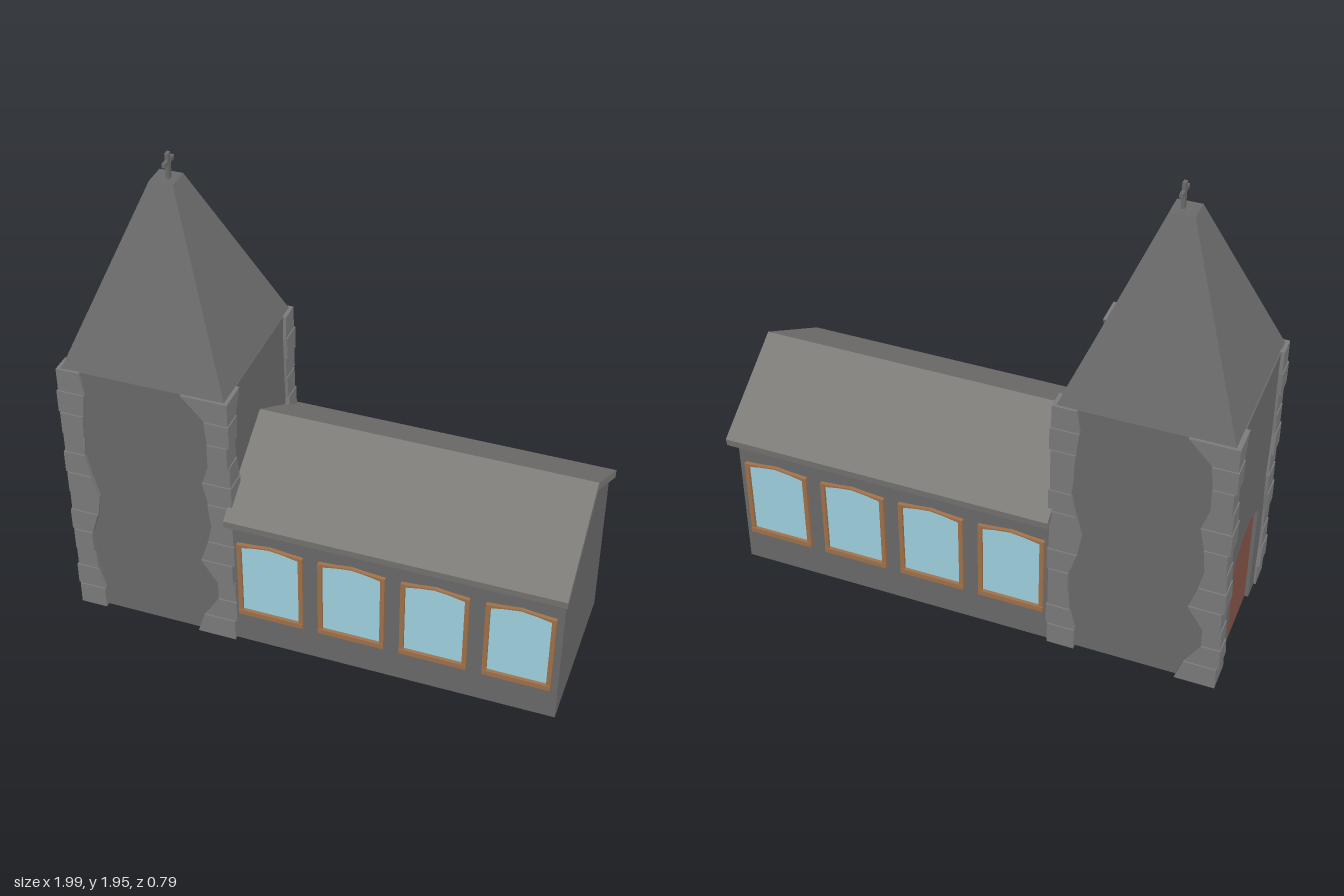
import * as THREE from 'three';

const mat = (color) => new THREE.MeshStandardMaterial({ color, flatShading: true });
const wallStone = mat(0x6b6b6b), cornerStone = mat(0x7c7c7c), slate = mat(0x7c7b78);
const wood = mat(0xa1724a), glass = mat(0x9fd3e2), doorWood = mat(0x875549);

function add(parent, name, geometry, material) {
  const mesh = new THREE.Mesh(geometry, material);
  mesh.name = name;
  parent.add(mesh);
  return mesh;
}

// Six-sided block between two rectangles [x0, x1, z0, z1] at heights y0 and y1.
function block(low, high, y0, y1) {
  const g = new THREE.BoxGeometry(1, 1, 1), p = g.attributes.position;
  for (let i = 0; i < p.count; i++) {
    const top = p.getY(i) > 0, r = top ? high : low;
    p.setXYZ(i, p.getX(i) > 0 ? r[1] : r[0], top ? y1 : y0, p.getZ(i) > 0 ? r[3] : r[2]);
  }
  g.computeVertexNormals();
  return g;
}

const outline = (points, Type = THREE.Shape) => new Type(points.map(([x, y]) => new THREE.Vector2(x, y)));
const extrude = (shape, depth) => new THREE.ExtrudeGeometry(shape, { depth, bevelEnabled: false, curveSegments: 8 });

// Profile drawn in (z, y) and extruded along x from x0 to x1.
function alongX(shape, x0, x1) {
  return extrude(shape, x1 - x0).rotateY(-Math.PI / 2).translate(x1, 0, 0);
}

// Window outline with a shallow faceted arch.
const arch = (w, y0, side, crown) => [[-w, y0], [w, y0], [w, side], [0.06, crown - 0.008],
  [0, crown], [-0.06, crown - 0.008], [-w, side]];

function createWindow() {
  const group = new THREE.Group();
  group.name = 'window';
  const frame = outline(arch(0.133, 0.15, 0.506, 0.52));
  frame.holes.push(outline(arch(0.116, 0.172, 0.494, 0.514), THREE.Path));
  add(group, 'windowFrame', extrude(frame, 0.02), wood).position.z = -0.005;
  add(group, 'windowPane', extrude(outline(arch(0.12, 0.16, 0.496, 0.516)), 0.01), glass).position.z = -0.006;
  const sill = [-0.133, 0.133, -0.005, 0.018];
  add(group, 'windowSill', block(sill, sill, 0.15, 0.172), wood);
  return group;
}

// Ragged corner stones: how far the courses reach along the wall, from the ground up.
const raggedA = [0.15, 0.12, 0.06, 0.06, 0.12, 0.09, 0.07, 0.08, 0.1, 0.07, 0.07, 0.08, 0.17];
const raggedB = [0.1, 0.1, 0.075, 0.07, 0.07, 0.1, 0.115, 0.09, 0.07, 0.08, 0.085, 0.095, 0.08];

function createCornerStones(name, sx, sz, reach) {
  const group = new THREE.Group();
  group.name = name;
  const x = sx > 0 ? -0.32 : -0.975, z = sz * 0.33, courses = reach.length - 1;
  const span = (c, s, out, inward) => (s > 0 ? [c - inward, c + out] : [c - out, c + inward]);
  for (let i = 0; i < courses; i++) {
    const outX = 0.009 + 0.004 * ((i * 2) % 3), outZ = 0.009 + 0.006 * ((i * 5 + 2) % 3);
    const rect = (r) => [...span(x, sx, outX, r), ...span(z, sz, outZ, 0.03 + r / 2)];
    const y = (k) => (1.155 * k) / courses;
    add(group, 'cornerStone', block(rect(reach[i]), rect(reach[i + 1]), y(i), y(i + 1)), cornerStone);
  }
  return group;
}

function createTower() {
  const tower = new THREE.Group();
  tower.name = 'tower';
  const body = [-0.935, -0.32, -0.33, 0.33];
  add(tower, 'towerBody', block(body, body, 0, 1.155), wallStone);

  // Entrance wall with a recessed door
  const wall = outline([[-0.33, 0], [-0.17, 0], [-0.17, 0.46]]);
  wall.quadraticCurveTo(0, 0.59, 0.17, 0.46);
  [[0.17, 0], [0.33, 0], [0.33, 1.155], [-0.33, 1.155]].forEach(([a, b]) => wall.lineTo(a, b));
  add(tower, 'entranceWall', alongX(wall, -0.975, -0.935), wallStone);
  const door = outline([[0.17, 0.46], [0.17, 0], [-0.17, 0], [-0.17, 0.46]]);
  door.quadraticCurveTo(0, 0.59, 0.17, 0.46);
  add(tower, 'door', alongX(door, -0.96, -0.935), doorWood);

  add(tower, 'spire', block([-0.97, -0.322, -0.327, 0.327], [-0.695, -0.603, -0.046, 0.046], 1.155, 1.845), wallStone);
  tower.add(
    createCornerStones('frontLeftCornerStones', 1, 1, raggedA),
    createCornerStones('frontRightCornerStones', -1, 1, raggedB),
    createCornerStones('backLeftCornerStones', 1, -1, raggedB),
    createCornerStones('backRightCornerStones', -1, -1, raggedA),
  );

  // Cross on the flat spire top
  const upright = [-0.645, -0.632, -0.011, 0.011], bar = [-0.645, -0.632, -0.04, 0.04];
  add(tower, 'crossUpright', block(upright, upright, 1.84, 1.945), wallStone);
  add(tower, 'crossBar', block(bar, bar, 1.902, 1.918), wallStone);
  return tower;
}

function createNave() {
  const nave = new THREE.Group();
  nave.name = 'nave';
  const walls = outline([[-0.333, 0], [0.333, 0], [0.333, 0.66], [0, 0.865], [-0.333, 0.66]]);
  add(nave, 'naveWalls', alongX(walls, -0.33, 0.985), wallStone);
  const roof = outline([[-0.39, 0.62], [0, 0.86], [0.39, 0.62], [0.395, 0.652], [0, 0.897], [-0.395, 0.652]]);
  add(nave, 'naveRoof', alongX(roof, -0.32, 1), slate);

  // Four windows along each side
  for (const side of [1, -1]) {
    for (let i = 0; i < 4; i++) {
      const win = createWindow();
      win.position.set(-0.158 + i * 0.328, 0, side * 0.333);
      if (side < 0) win.rotation.y = Math.PI;
      nave.add(win);
    }
  }
  return nave;
}

export function createModel() {
  const model = new THREE.Group();
  model.name = 'church';
  model.add(createTower(), createNave());
  return model;
}
